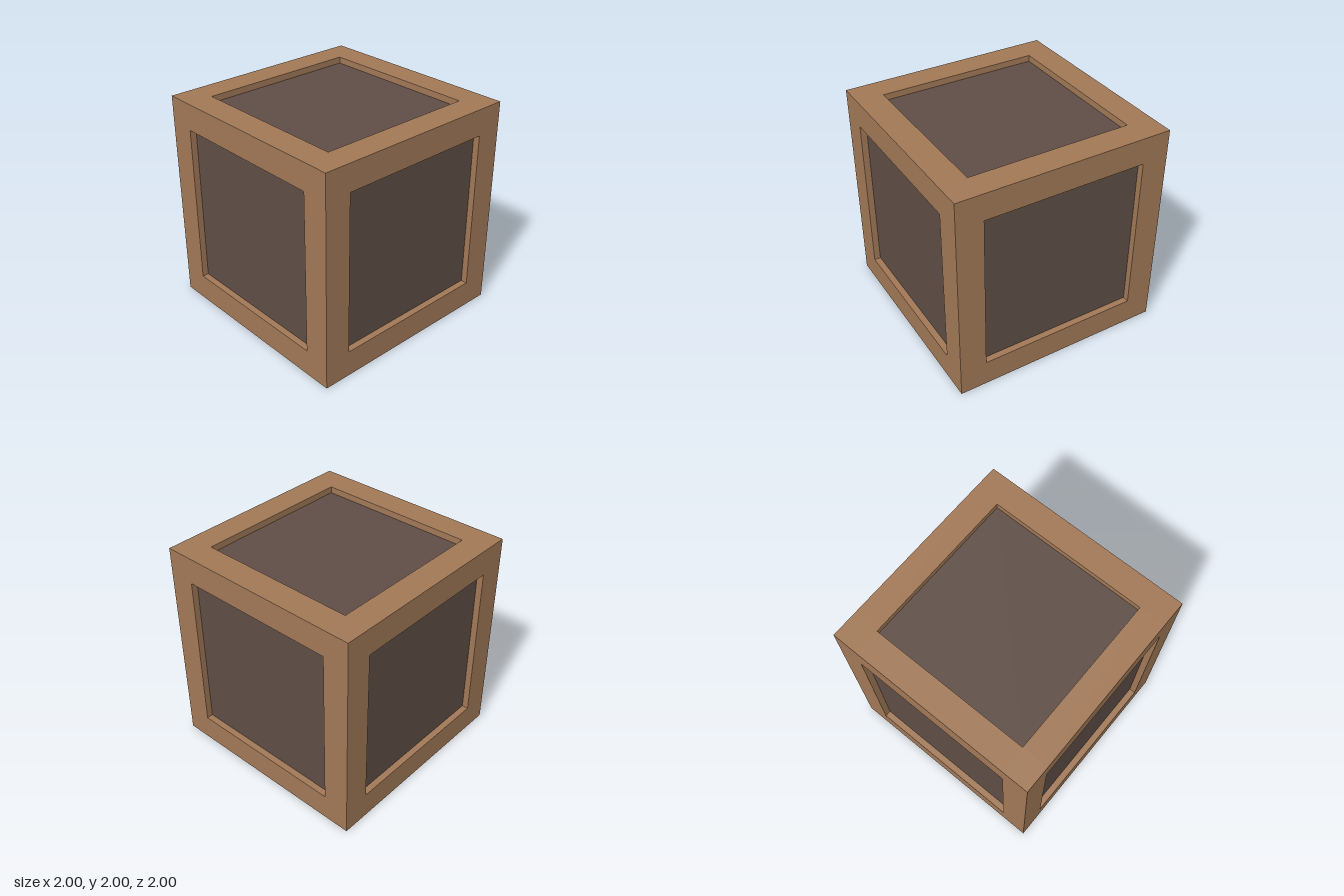
import * as THREE from 'three';

const SIZE = 2;        // outer edge of the crate
const BEAM = 0.247;    // square section of the frame beams
const RECESS = 0.06;   // how far the panels sit behind the frame
const PANEL = 0.04;    // panel thickness

export function createModel() {
  const frameWood = new THREE.MeshStandardMaterial({ color: 0xa27957 });
  frameWood.name = 'frameWood';
  const panelWood = new THREE.MeshStandardMaterial({ color: 0x5f4e46 });
  panelWood.name = 'panelWood';

  const crate = new THREE.Group();
  crate.name = 'crate';
  const opening = SIZE - 2 * BEAM;
  const edge = (SIZE - BEAM) / 2;

  function addBox(name, material, size, position) {
    const mesh = new THREE.Mesh(new THREE.BoxGeometry(...size), material);
    mesh.name = name;
    mesh.position.set(...position);
    mesh.position.y += SIZE / 2;
    crate.add(mesh);
  }

  // Frame: full-height corner posts, with rails fitted between them
  for (const a of [-1, 1]) {
    for (const b of [-1, 1]) {
      addBox('cornerPost', frameWood, [BEAM, SIZE, BEAM], [a * edge, 0, b * edge]);
      addBox('crossRail', frameWood, [opening, BEAM, BEAM], [0, a * edge, b * edge]);
      addBox('sideRail', frameWood, [BEAM, BEAM, opening], [a * edge, b * edge, 0]);
    }
  }

  // Recessed panel in each of the six openings
  const names = [['rightPanel', 'leftPanel'], ['bottomPanel', 'topPanel'], ['backPanel', 'frontPanel']];
  names.forEach((pair, axis) => pair.forEach((name, i) => {
    const size = [opening, opening, opening];
    const position = [0, 0, 0];
    size[axis] = PANEL;
    position[axis] = (i ? 1 : -1) * (SIZE / 2 - RECESS - PANEL / 2);
    addBox(name, panelWood, size, position);
  }));

  return crate;
}
